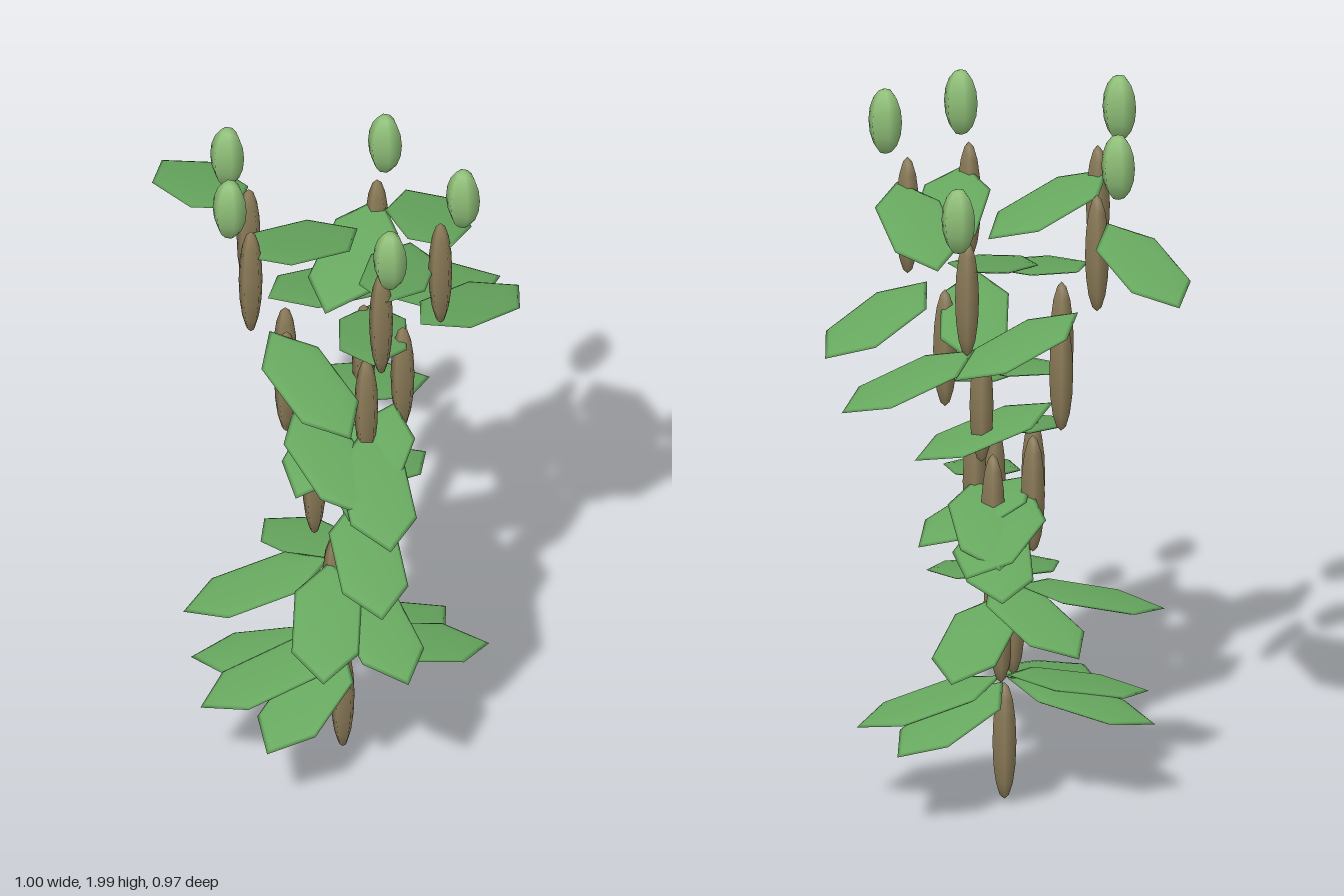
import * as THREE from 'three';

const ROOT = { x: 0.075, y: 0.17, z: 0.015 };

// Each stalk: horizontal reach of its top joint, rise per joint,
// and the compass angle (degrees from +x towards +z) of its six leaves.
const STALKS = [
  { reach: [0.023, -0.27], rise: 0.338, leaves: [-62, -88, 250, 101, 315, 97] },
  { reach: [-0.268, -0.05], rise: 0.357, leaves: [175, 151, 280, -40, -52, 225] },
  { reach: [-0.203, 0.18], rise: 0.368, leaves: [143, 78, -57, 46, 43, -54] },
  { reach: [0.16, 0.215], rise: 0.357, leaves: [106, 52, 65, 65, 255, 265] },
  { reach: [0.265, 0], rise: 0.364, leaves: [-33, 218, 244, 93, 296, 238] },
];

const material = (color) => new THREE.MeshStandardMaterial({ color });

export function createModel() {
  const plant = new THREE.Group();
  plant.name = 'plant';

  // Low-sided ellipsoids for every part
  const jointGeo = new THREE.SphereGeometry(1, 5, 8).scale(0.033, 0.165, 0.033);
  const podGeo = new THREE.SphereGeometry(1, 6, 8).scale(0.046, 0.092, 0.046);
  // Leaf lies along +x, starting at its base
  const leafGeo = new THREE.SphereGeometry(1, 6, 8).scale(0.205, 0.01, 0.102).translate(0.205, 0, 0);

  const stemMat = material(0x8b7b58);
  const leafMat = material(0x67a85f);
  const podMat = material(0x8fbf78);

  const add = (parent, name, geo, mat, p) => {
    const mesh = new THREE.Mesh(geo, mat);
    mesh.name = name;
    mesh.position.copy(p);
    parent.add(mesh);
    return mesh;
  };

  // Shared bottom joint
  add(plant, 'trunk', jointGeo, stemMat, new THREE.Vector3(ROOT.x, ROOT.y, ROOT.z));

  STALKS.forEach(({ reach, rise, leaves }, i) => {
    const stalk = new THREE.Group();
    stalk.name = `stalk${i + 1}`;
    plant.add(stalk);

    // Point on the outward-curving stalk, k joints above the trunk
    const at = (k, spread = Math.pow(k / 4, 1.7)) => new THREE.Vector3(
      ROOT.x + reach[0] * spread, ROOT.y + rise * k, ROOT.z + reach[1] * spread);

    // Stem joints
    for (let k = 1; k <= 4; k++) add(stalk, 'stemJoint', jointGeo, stemMat, at(k));

    // Drooping leaves
    leaves.forEach((angle, j) => {
      const leaf = add(stalk, 'leaf', leafGeo, leafMat, at(0.5 + 0.75 * j));
      leaf.rotation.set(0, -THREE.MathUtils.degToRad(angle), -0.25, 'YXZ');
    });

    // Bud above the tip
    add(stalk, 'bud', podGeo, podMat, at(4.71, 1.23));
  });

  return plant;
}
